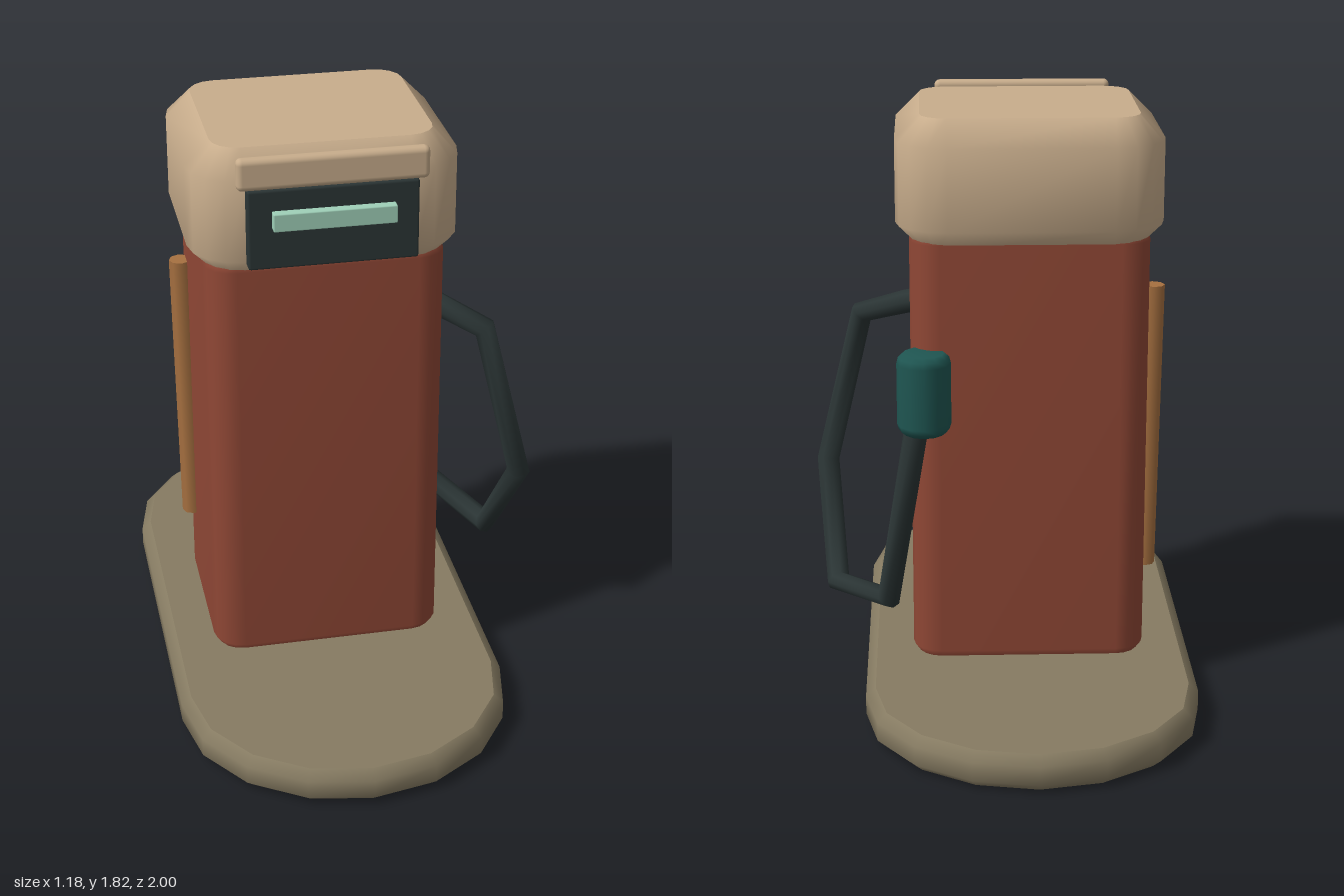
import * as THREE from 'three';
import { RoundedBoxGeometry } from 'three/addons/geometries/RoundedBoxGeometry.js';

const mat = (name, color) => {
  const m = new THREE.MeshStandardMaterial({ color });
  m.name = name;
  return m;
};

// Rounded rectangle in x/z: half sizes w, d and elliptical corner radii rx, rz
function outline(w, d, rx, rz, steps) {
  const pts = [];
  const signs = [[1, 1], [-1, 1], [-1, -1], [1, -1]];
  signs.forEach(([sx, sz], q) => {
    for (let i = 0; i <= steps; i++) {
      const a = (q + i / steps) * Math.PI / 2;
      const p = new THREE.Vector2(sx * (w - rx) + rx * Math.cos(a), sz * (d - rz) + rz * Math.sin(a));
      if (!pts.length || pts[pts.length - 1].distanceTo(p) > 1e-5) pts.push(p);
    }
  });
  if (pts[0].distanceTo(pts[pts.length - 1]) < 1e-5) pts.pop();
  return pts;
}

// Upright block with smooth sides and flat caps; levels are [y, inset]
function block(w, d, rx, rz, steps, levels) {
  const pos = [], idx = [];
  const rings = levels.map(([y, s]) =>
    outline(w - s, d - s, rx - s, rz - s, steps).map(p => [p.x, y, p.y]));
  const n = rings[0].length;
  rings.forEach(r => r.forEach(p => pos.push(...p)));
  for (let k = 0; k < rings.length - 1; k++) {
    for (let j = 0; j < n; j++) {
      const a = k * n + j, b = k * n + (j + 1) % n;
      idx.push(a, a + n, b, b, a + n, b + n);
    }
  }
  [[rings[0], false], [rings[rings.length - 1], true]].forEach(([ring, top]) => {
    const c = pos.length / 3;
    pos.push(0, ring[0][1], 0);
    ring.forEach(p => pos.push(...p));
    for (let j = 0; j < n; j++) {
      const a = c + 1 + j, b = c + 1 + (j + 1) % n;
      idx.push(c, top ? b : a, top ? a : b);
    }
  });
  const g = new THREE.BufferGeometry();
  g.setAttribute('position', new THREE.Float32BufferAttribute(pos, 3));
  g.setIndex(idx);
  g.computeVertexNormals();
  return g;
}

// Straight-sided path whose rings sit exactly on the bends
class BentPath extends THREE.Curve {
  constructor(points) {
    super();
    this.points = points;
  }
  getPointAt(u, target = new THREE.Vector3()) {
    return target.copy(this.points[Math.round(u * (this.points.length - 1))]);
  }
  getPoint(u, target) {
    return this.getPointAt(u, target);
  }
  getTangentAt(u, target = new THREE.Vector3()) {
    const p = this.points, i = Math.round(u * (p.length - 1));
    target.set(0, 0, 0);
    if (i > 0) target.add(p[i].clone().sub(p[i - 1]).normalize());
    if (i < p.length - 1) target.add(p[i + 1].clone().sub(p[i]).normalize());
    return target.normalize();
  }
}

export function createModel() {
  const model = new THREE.Group();
  model.name = 'fuelPump';
  const red = mat('brick red', 0x8f4735);
  const cream = mat('cream', 0xc8ad8c);
  const stone = mat('stone', 0x867b62);
  const dark = mat('charcoal', 0x2b3535);
  const teal = mat('teal', 0x1f5652);
  const mint = mat('mint', 0x9fd0b8);
  const copper = mat('copper', 0xa67040);

  const add = (name, geometry, material, x = 0, y = 0, z = 0) => {
    const m = new THREE.Mesh(geometry, material);
    m.name = name;
    m.position.set(x, y, z);
    model.add(m);
    return m;
  };
  const cx = -0.085;

  // Island, cabinet and head
  add('island', block(0.508, 1, 0.508, 0.48, 4,
    [[0, 0.03], [0.027, 0], [0.085, 0], [0.112, 0.03]]), stone, cx);
  add('cabinet', block(0.362, 0.313, 0.09, 0.09, 4,
    [[0.1, 0.025], [0.135, 0], [1.44, 0], [1.46, 0.025]]), red, cx);
  add('head', block(0.403, 0.355, 0.155, 0.155, 4,
    [[1.42, 0.07], [1.49, 0], [1.74, 0], [1.815, 0.075]]), cream, cx, 0, -0.005);

  // Display on the front of the head
  add('displayPanel', new RoundedBoxGeometry(0.5, 0.245, 0.05, 1, 0.008), dark, cx, 1.602, 0.363);
  add('displayStrip', new RoundedBoxGeometry(0.36, 0.055, 0.035, 1, 0.004), mint, cx, 1.633, 0.398);
  add('displayHood', new RoundedBoxGeometry(0.56, 0.098, 0.04, 2, 0.018), cream, cx, 1.773, 0.373);

  // Rail on the right side, leaning slightly outward
  const low = new THREE.Vector3(-0.453, 0.37, -0.165), high = new THREE.Vector3(-0.466, 1.28, -0.165);
  const rail = add('sideRail', new THREE.CylinderGeometry(0.035, 0.035, low.distanceTo(high), 8), copper);
  rail.position.copy(low).lerp(high, 0.5);
  rail.quaternion.setFromUnitVectors(new THREE.Vector3(0, 1, 0), high.clone().sub(low).normalize());

  // Nozzle grip at the back left corner
  const grip = [[0, 0.865], [0.062, 0.865], [0.077, 0.878], [0.082, 0.895],
    [0.082, 1.085], [0.077, 1.104], [0.062, 1.117], [0, 1.117]].map(p => new THREE.Vector2(...p));
  add('nozzleGrip', new THREE.LatheGeometry(grip, 12), teal, 0.237, 0, -0.327);

  // Hose looping out from the side and back up to the grip
  const hose = [[0.24, 1.19, 0.025], [0.29, 1.172, 0.06], [0.435, 1.11, 0.16], [0.555, 0.605, 0.19],
    [0.52, 0.268, -0.05], [0.352, 0.335, -0.347], [0.258, 0.9, -0.335]].map(p => new THREE.Vector3(...p));
  add('hose', new THREE.TubeGeometry(new BentPath(hose), hose.length - 1, 0.037, 8), dark);

  return model;
}
